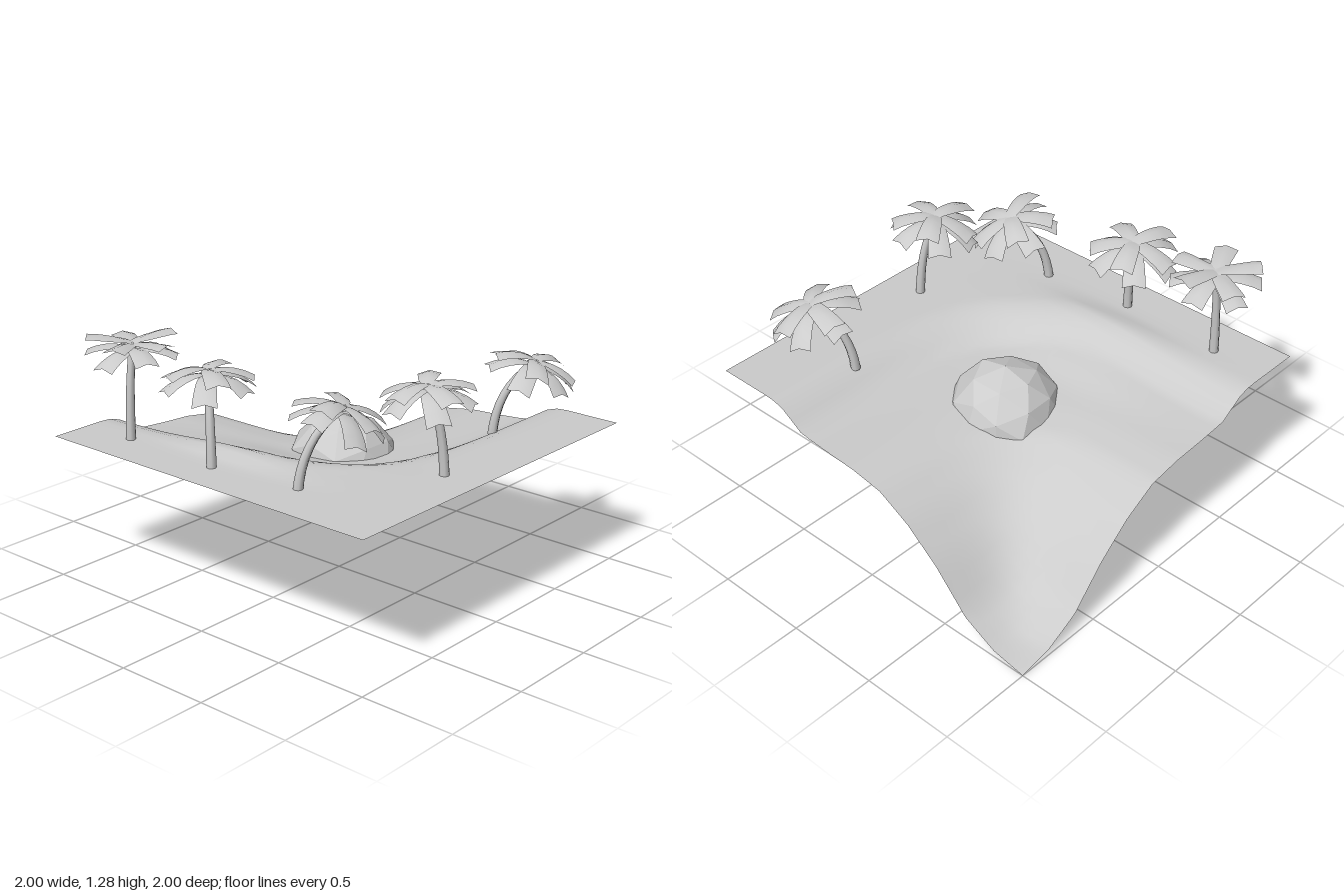
import * as THREE from 'three';

const smooth = new THREE.MeshStandardMaterial({ color: 0xcccccc, side: THREE.DoubleSide });
const faceted = new THREE.MeshStandardMaterial({ color: 0xcccccc, side: THREE.DoubleSide, flatShading: true });

// Ground height by distance from the sunken back corner
const slope = [[-1, 0], [-0.82, 0.035], [-0.64, 0.13], [-0.45, 0.34], [-0.27, 0.49], [-0.09, 0.59],
  [0.09, 0.62], [0.27, 0.63], [0.45, 0.645], [0.57, 0.725], [0.65, 0.75], [3, 0.75]];

// Smooth bump centred on (x0, z0)
const bump = (x, z, x0, z0, sx, sz) => Math.exp(-(((x - x0) / sx) ** 2) - ((z - z0) / sz) ** 2);

function groundHeight(x, z) {
  const u = Math.pow((x + 1) ** 4 + (z + 1) ** 4, 0.25) - 1;
  let i = 0;
  while (i < slope.length - 2 && u > slope[i + 1][0]) i++;
  const [a, ya] = slope[i], [b, yb] = slope[i + 1];
  // Low bank along the front, and its gentle inner foot
  const bank = 0.04 * bump(x, z, -0.17, 0.59, 0.42, z < 0.59 ? 0.15 : 0.08);
  const bankFoot = 0.038 * bump(x, z, -0.15, 0.36, 0.45, 0.15);
  return ya + (yb - ya) * (u - a) / (b - a) + bank + bankFoot;
}

function makeGround() {
  const geo = new THREE.PlaneGeometry(2, 2, 33, 33).rotateX(-Math.PI / 2);
  const p = geo.attributes.position;
  for (let i = 0; i < p.count; i++) p.setY(i, groundHeight(p.getX(i), p.getZ(i)));
  geo.computeVertexNormals();
  const mesh = new THREE.Mesh(geo, smooth);
  mesh.name = 'ground';
  return mesh;
}

// Faceted boulder, open and jagged underneath, cut higher at the front right
function makeRock() {
  const p = new THREE.IcosahedronGeometry(1, 1).attributes.position;
  const kept = [], centre = new THREE.Vector3(), v = new THREE.Vector3();
  for (let i = 0; i < p.count; i += 3) {
    centre.set(0, 0, 0);
    for (let k = i; k < i + 3; k++) centre.add(v.fromBufferAttribute(p, k));
    centre.divideScalar(3);
    const jag = 0.1 * Math.sin(5 * Math.atan2(centre.z, centre.x));
    if (centre.y < -0.42 + jag + 0.5 * Math.max(0, centre.z - centre.x - 0.2)) continue;
    for (let k = i; k < i + 3; k++) {
      const x = p.getX(k), y = p.getY(k), z = p.getZ(k);
      const r = 1 + 0.06 * Math.sin(7 * x + 3 * z) * Math.cos(5 * y + 4 * z);
      const flare = r * (1 + 0.2 * Math.max(0, -y));
      kept.push(x * flare * 0.29, y * r * (y < 0 ? 0.28 : 0.25), z * flare * 0.28);
    }
  }
  const geo = new THREE.BufferGeometry();
  geo.setAttribute('position', new THREE.Float32BufferAttribute(kept, 3));
  geo.computeVertexNormals();
  const mesh = new THREE.Mesh(geo, faceted);
  mesh.name = 'rock';
  mesh.position.set(-0.055, 0.56, -0.09);
  return mesh;
}

// Broad folded leaf along +x; droop bends the tip down
function makeFrondGeometry(length, droop) {
  const geo = new THREE.PlaneGeometry(1, 1, 5, 2).rotateX(-Math.PI / 2);
  const p = geo.attributes.position;
  for (let i = 0; i < p.count; i++) {
    const t = p.getX(i) + 0.5, s = p.getZ(i) * 2;
    const halfWidth = 0.027 + 0.033 * Math.sqrt(t);
    p.setXYZ(i, t * length, 0.07 * t - droop * t * t - 0.018 * s * s * Math.min(1, 2 * t), s * halfWidth);
  }
  geo.computeVertexNormals();
  return geo;
}

// Palm from base to crown; tilt leans the crown along the trunk
function makePalm(base, top, flat, tilt, spin) {
  const palm = new THREE.Group();
  palm.name = 'palm';
  const b = new THREE.Vector3(...base), t = new THREE.Vector3(...top);
  const mid = new THREE.Vector3(b.x + (t.x - b.x) * 0.1, (b.y + t.y) / 2 + 0.07, b.z + (t.z - b.z) * 0.1);
  const curve = new THREE.QuadraticBezierCurve3(b, mid, t);

  // Trunk: tube narrowing towards the crown
  const rows = 8, sides = 8;
  const geo = new THREE.TubeGeometry(curve, rows, 0.025, sides, false);
  const p = geo.attributes.position, v = new THREE.Vector3();
  for (let i = 0; i < p.count; i++) {
    const f = Math.floor(i / (sides + 1)) / rows, c = curve.getPointAt(f);
    v.fromBufferAttribute(p, i).sub(c).multiplyScalar(1 - 0.3 * f).add(c);
    p.setXYZ(i, v.x, v.y, v.z);
  }
  const trunk = new THREE.Mesh(geo, smooth);
  trunk.name = 'trunk';
  palm.add(trunk);

  // Trunk foot cap
  const foot = new THREE.Mesh(new THREE.CircleGeometry(0.025, sides).rotateX(Math.PI / 2), smooth);
  foot.name = 'trunkFoot';
  foot.position.copy(b);
  palm.add(foot);

  // Crown: upper and lower tiers of fronds, each pitched a little differently
  const crown = new THREE.Group();
  crown.name = 'crown';
  crown.position.copy(t);
  const lean = new THREE.Vector3((t.x - b.x) * tilt, 1, (t.z - b.z) * tilt).normalize();
  crown.quaternion.setFromUnitVectors(new THREE.Vector3(0, 1, 0), lean);
  const tiers = [{ n: 5, y: 0.015, droop: flat ? 0.045 : 0.095 }, { n: 6, y: -0.015, droop: flat ? 0.1 : 0.14 }];
  tiers.forEach(({ n, y, droop }, k) => {
    const frondGeo = makeFrondGeometry(0.222, droop);
    for (let i = 0; i < n; i++) {
      const frond = new THREE.Mesh(frondGeo, smooth);
      frond.name = 'frond';
      frond.position.y = y + 0.006 * (i % 2);
      frond.rotation.set(0, spin + (i + k * 0.5) * 2 * Math.PI / n, 0.09 * Math.sin(2.4 * i + k));
      crown.add(frond);
    }
  });
  palm.add(crown);
  return palm;
}

export function createModel() {
  const model = new THREE.Group();
  model.name = 'palmCove';
  model.add(makeGround(), makeRock());
  // Base, crown centre, flat crown, lean, spin
  const palms = [
    [[-0.685, 0.74, 0.78], [-0.685, 1.22, 0.745], true, 0.5, 0.1],
    [[-0.105, 0.73, 0.8], [-0.185, 1.185, 0.73], false, 0.8, 0.7],
    [[0.39, 0.73, 0.74], [0.51, 1.12, 0.57], false, 1.5, 1.2],
    [[0.57, 0.72, -0.52], [0.715, 1.09, -0.655], false, 1.5, 0.4],
    [[0.79, 0.73, 0.16], [0.735, 1.185, 0.235], false, 0.8, 0.9],
  ];
  for (const args of palms) model.add(makePalm(...args));
  return model;
}
